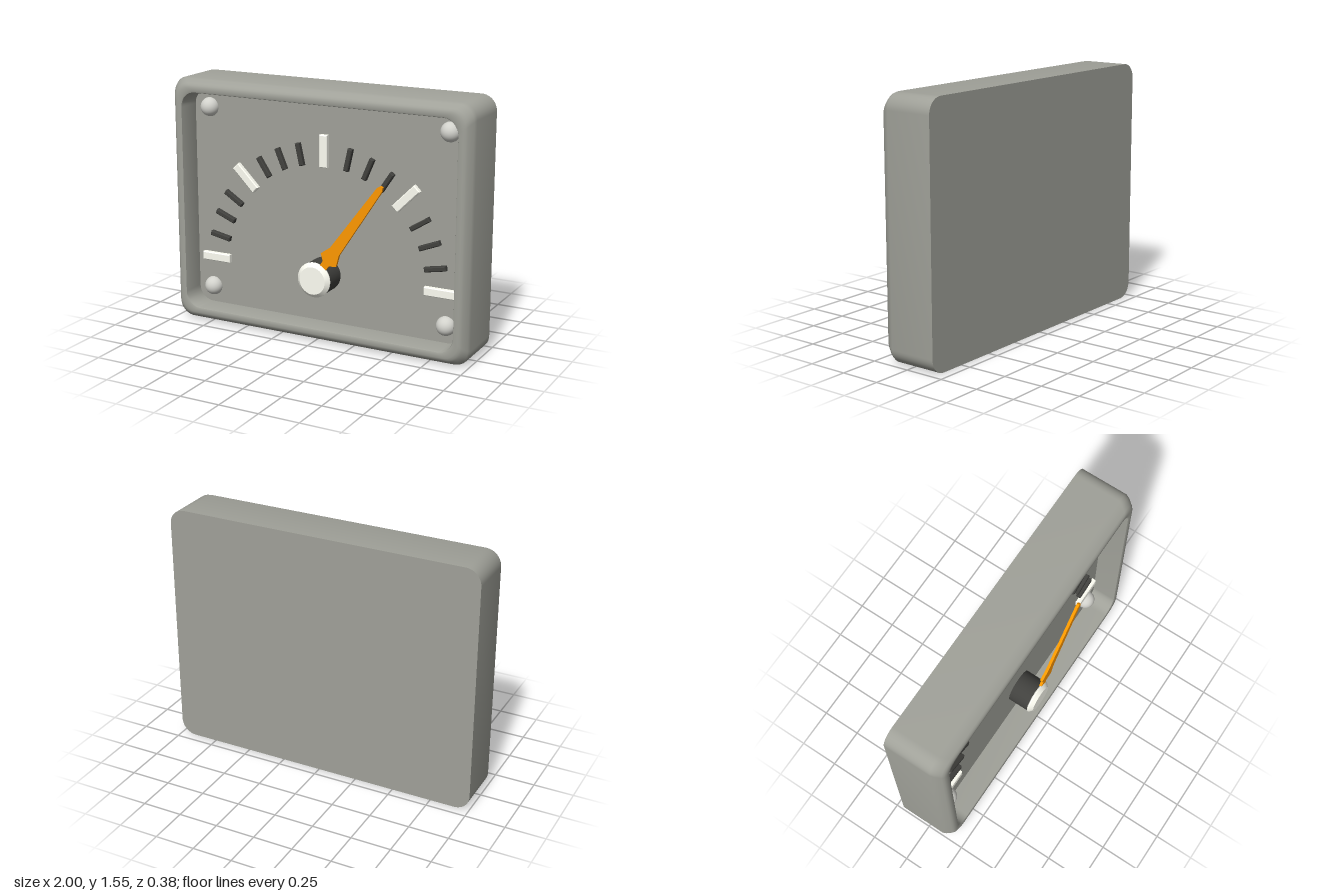
import * as THREE from 'three';
import { toCreasedNormals } from 'three/addons/utils/BufferGeometryUtils.js';

const W = 2, H = 1.555, CY = H / 2;
const PLATE_Z = 0.022;         // dial face
const PIVOT_Y = 0.395;         // centre of the scale

const caseGrey = new THREE.MeshStandardMaterial({ color: 0xa0a199 });
const screwGrey = new THREE.MeshStandardMaterial({ color: 0xd2d2cc });
const cream = new THREE.MeshStandardMaterial({ color: 0xfffff4 });
const dark = new THREE.MeshStandardMaterial({ color: 0x41413e });
const orange = new THREE.MeshStandardMaterial({ color: 0xff9800 });

function add(parent, name, geometry, material, x = 0, y = 0, z = 0) {
  const mesh = new THREE.Mesh(geometry, material);
  mesh.name = name;
  mesh.position.set(x, y, z);
  parent.add(mesh);
  return mesh;
}

// Rounded rectangle loop, counter-clockwise seen from the front
function ring(inset, z, radius = 0.096, steps = 10) {
  const points = [];
  const hx = W / 2 - inset - radius, hy = H / 2 - inset - radius;
  [[1, 1], [-1, 1], [-1, -1], [1, -1]].forEach(([sx, sy], corner) => {
    for (let i = 0; i <= steps; i++) {
      const a = (corner + i / steps) * Math.PI / 2;
      points.push([sx * hx + radius * Math.cos(a), sy * hy + radius * Math.sin(a), z]);
    }
  });
  return points;
}

// Case: loops from the back, round the front lip and down to the dial face
function caseGeometry() {
  const profile = [
    [0, -0.19], [0, 0.11], [0.008, 0.132], [0.03, 0.166], [0.04, 0.175], [0.052, 0.18],
    [0.076, 0.18], [0.083, 0.177], [0.086, 0.17], [0.086, PLATE_Z],
  ];
  const rings = profile.map(([inset, z]) => ring(inset, z));
  const n = rings[0].length;
  const position = rings.flat(2);
  const back = rings.length * n, front = back + 1;
  position.push(0, 0, -0.19, 0, 0, PLATE_Z);
  const index = [];
  for (let j = 0; j < n; j++) {
    const k = (j + 1) % n;
    for (let i = 0; i < rings.length - 1; i++) {
      const a = i * n + j, b = i * n + k, c = a + n, d = b + n;
      index.push(a, b, d, a, d, c);
    }
    index.push(back, k, j);
    index.push(front, (rings.length - 1) * n + j, (rings.length - 1) * n + k);
  }
  const geometry = new THREE.BufferGeometry();
  geometry.setAttribute('position', new THREE.Float32BufferAttribute(position, 3));
  geometry.setIndex(index);
  return toCreasedNormals(geometry, 0.6);
}

// Scale mark: bar along x with a small bevel on its front
function markGeometry(length, width, height) {
  const b = 0.005, x = length / 2 - b, y = width / 2 - b;
  const shape = new THREE.Shape([[-x, -y], [x, -y], [x, y], [-x, y]].map((p) => new THREE.Vector2(...p)));
  return new THREE.ExtrudeGeometry(shape, {
    depth: height - b, bevelEnabled: true, bevelSize: b, bevelThickness: b, bevelSegments: 1,
  });
}

// Needle outline along +y, mirrored about its axis
function needleGeometry() {
  const half = [[0.024, 0], [0.024, 0.14], [0.062, 0.172], [0.036, 0.244], [0.019, 0.75], [0.009, 0.772]];
  const outline = [...half, ...half.map(([x, y]) => [-x, y]).reverse()];
  const shape = new THREE.Shape(outline.map((p) => new THREE.Vector2(...p)));
  return new THREE.ExtrudeGeometry(shape, { depth: 0.018, bevelEnabled: false });
}

export function createModel() {
  const model = new THREE.Group();
  model.name = 'dialGauge';

  add(model, 'case', caseGeometry(), caseGrey, 0, CY, 0);

  // Domed screws in the corners
  const dome = new THREE.SphereGeometry(0.06, 28, 10, 0, Math.PI * 2, 0, Math.PI / 2).rotateX(Math.PI / 2);
  for (const x of [-0.807, 0.807]) {
    for (const y of [0.194, 1.361]) add(model, 'screw', dome, screwGrey, x, y, PLATE_Z);
  }

  // Scale marks on a half circle
  const scale = new THREE.Group();
  scale.name = 'scale';
  scale.position.set(0, PIVOT_Y, PLATE_Z);
  model.add(scale);
  const placeMark = (name, geometry, material, degrees, radius) => {
    const a = THREE.MathUtils.degToRad(degrees);
    add(scale, name, geometry, material, radius * Math.cos(a), radius * Math.sin(a)).rotation.z = a;
  };
  const major = markGeometry(0.2, 0.053, 0.03), minor = markGeometry(0.14, 0.03, 0.03);
  for (let d = 0; d <= 180; d += 45) placeMark('majorMark', major, cream, d, 0.77);
  for (const d of [11, 21.8, 32.3, 56.4, 66.9, 77.4]) {
    placeMark('minorMark', minor, dark, d, 0.752);
    placeMark('minorMark', minor, dark, 180 - d, 0.752);
  }

  // Needle on its hub
  add(model, 'needle', needleGeometry(), orange, 0, PIVOT_Y, 0.15).rotation.z = THREE.MathUtils.degToRad(-35.2);
  const hubHeight = 0.155 - PLATE_Z;
  const hub = new THREE.CylinderGeometry(0.107, 0.107, hubHeight, 40).rotateX(Math.PI / 2);
  add(model, 'hub', hub, dark, 0, PIVOT_Y, PLATE_Z + hubHeight / 2);
  // Lathe turned so that its axis points forward
  const capProfile = [[0, 0], [0.104, 0], [0.11, 0.006], [0.11, 0.012], [0.086, 0.035], [0, 0.035]];
  const cap = new THREE.LatheGeometry(capProfile.map((p) => new THREE.Vector2(...p)), 40).rotateX(Math.PI / 2);
  add(model, 'hubCap', toCreasedNormals(cap, 0.5), cream, 0, PIVOT_Y, 0.155);

  return model;
}
